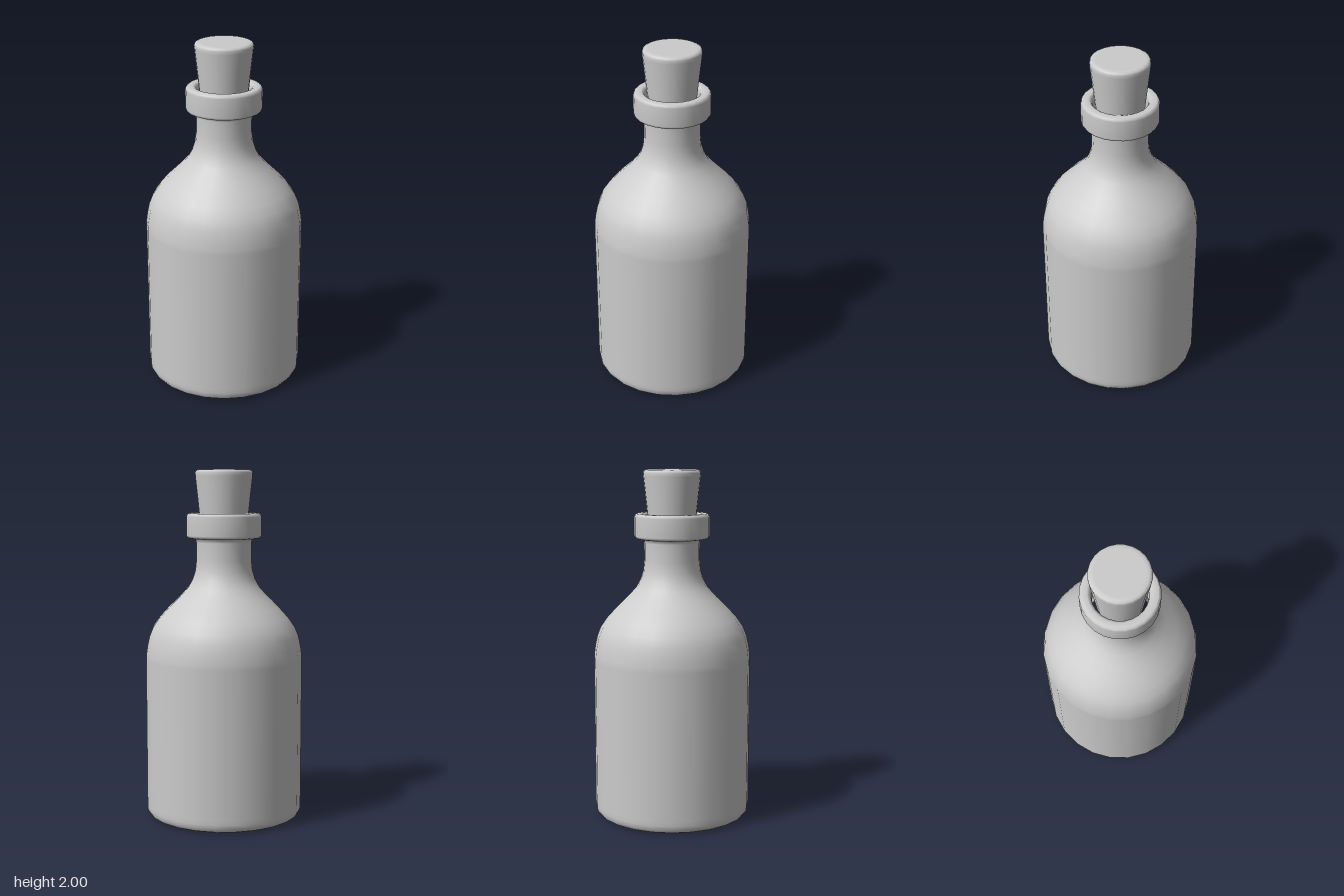
import * as THREE from 'three';

const SIDES = 24;

// Revolve a [radius, height] profile, listed from the bottom up the outside
function turned(name, profile) {
  const points = profile.map(([r, y]) => new THREE.Vector2(r, y));
  const mesh = new THREE.Mesh(
    new THREE.LatheGeometry(points, SIDES),
    new THREE.MeshStandardMaterial({ color: 0xcccccc })
  );
  mesh.name = name;
  return mesh;
}

export function createModel() {
  const group = new THREE.Group();
  group.name = 'corkedBottle';

  // Bottle body: flat base, straight wall, rounded shoulder, narrow neck
  group.add(turned('bottleBody', [
    [0, 0], [0.39, 0], [0.41, 0.003], [0.435, 0.014], [0.447, 0.032], [0.45, 0.055],
    [0.45, 0.08], [0.45, 0.92], [0.449, 0.95], [0.442, 1.0], [0.43, 1.055], [0.409, 1.107],
    [0.372, 1.16], [0.32, 1.217], [0.255, 1.28], [0.205, 1.335], [0.18, 1.38],
    [0.164, 1.43], [0.158, 1.49], [0.158, 1.59], [0.162, 1.605], [0.175, 1.62],
  ]));

  // Lip ring with rounded edges and an open mouth
  group.add(turned('lipRing', [
    [0.155, 1.612], [0.195, 1.612], [0.208, 1.617], [0.215, 1.63], [0.215, 1.735],
    [0.21, 1.748], [0.2, 1.755], [0.172, 1.755], [0.162, 1.75], [0.155, 1.74],
    [0.15, 1.72], [0.15, 1.6],
  ]));

  // Tapered cork, pushed part way into the neck
  group.add(turned('cork', [
    [0, 1.62], [0.12, 1.62], [0.128, 1.63], [0.141, 1.76], [0.163, 1.965],
    [0.164, 1.983], [0.16, 1.994], [0.148, 2], [0.13, 2], [0, 2],
  ]));

  return group;
}
